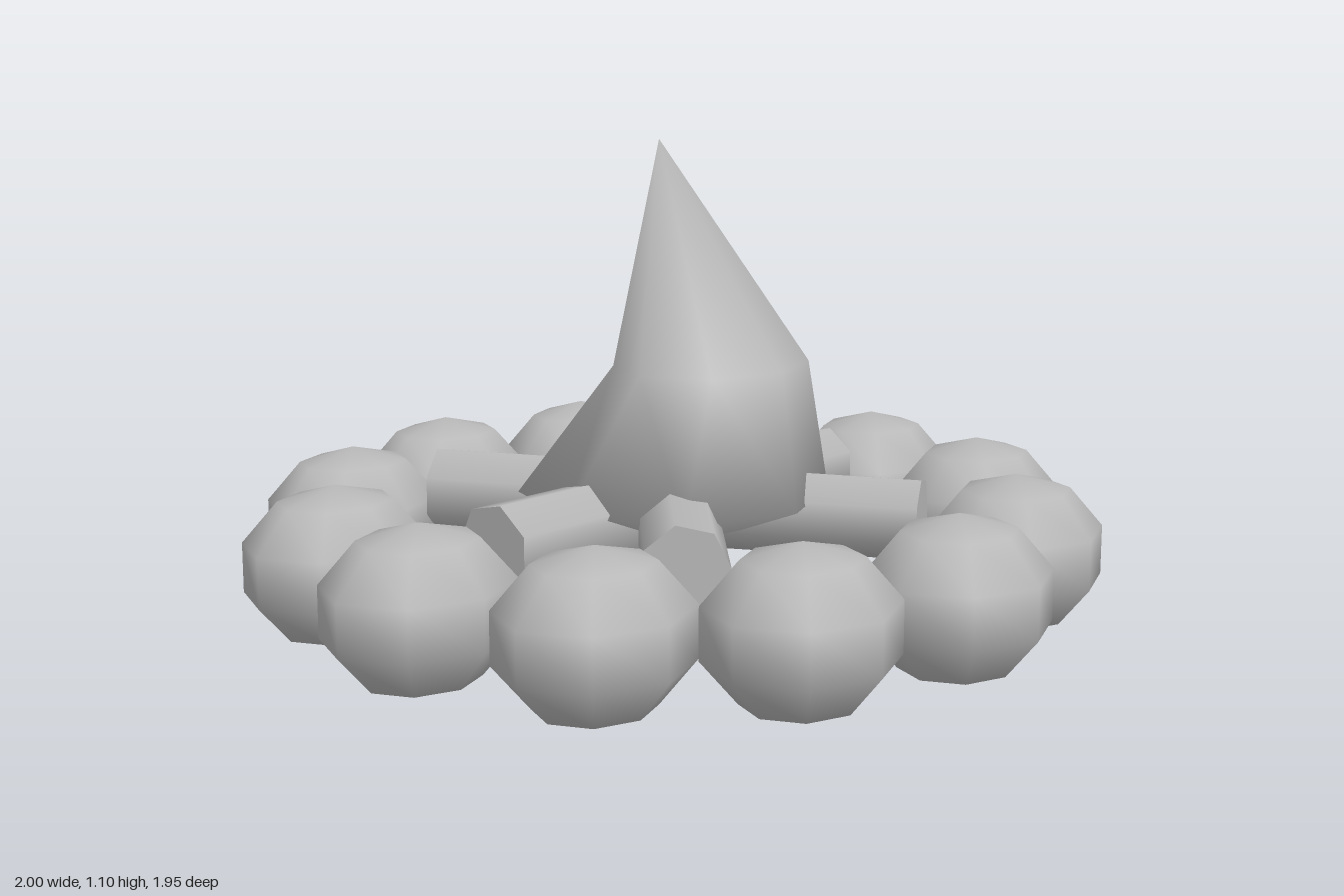
import * as THREE from 'three';

export function createModel() {
  const group = new THREE.Group();
  group.name = 'campfire';
  const grey = new THREE.MeshStandardMaterial({ color: 0xb8b8b8 });
  grey.name = 'plain grey';

  const add = (name, geometry, parent = group) => {
    const mesh = new THREE.Mesh(geometry, grey);
    mesh.name = name;
    parent.add(mesh);
    return mesh;
  };

  // Ring of twelve squashed stones, all facing the same way
  const stones = new THREE.Group();
  stones.name = 'stoneRing';
  group.add(stones);
  const stoneShape = new THREE.SphereGeometry(1, 8, 5).scale(0.225, 0.18, 0.203);
  for (let i = 0; i < 12; i++) {
    const a = (i / 12) * Math.PI * 2;
    add('stone', stoneShape, stones).position.set(0.785 * Math.cos(a), 0.18, 0.78 * Math.sin(a));
  }

  // Three tapered logs crossing in the middle
  const logs = new THREE.Group();
  logs.name = 'logs';
  group.add(logs);
  const logShape = new THREE.CylinderGeometry(0.103, 0.094, 1.155, 7).rotateZ(-Math.PI / 2);
  for (const degrees of [180, 116, 43.5]) {
    const log = add('log', logShape, logs);
    log.position.y = 0.258;
    log.rotation.y = THREE.MathUtils.degToRad(degrees);
  }

  // Flame: a coarse sphere whose rings are shifted into a leaning teardrop.
  // The round sphere normals are kept for a soft look.
  const rings = [
    { x: -0.05, y: 1.1, z: 0, rx: 0, rz: 0 },
    { x: 0.09, y: 0.58, z: 0.038, rx: 0.25, rz: 0.208 },
    { x: 0, y: 0.29, z: 0, rx: 0.36, rz: 0.36 },
    { x: 0, y: 0.145, z: 0, rx: 0, rz: 0 },
  ];
  const sides = 8;
  const flame = new THREE.SphereGeometry(1, sides, 3);
  const pos = flame.attributes.position;
  for (let i = 0; i < pos.count; i++) {
    const ring = rings[Math.floor(i / (sides + 1))];
    const a = ((i % (sides + 1)) / sides) * Math.PI * 2;
    pos.setXYZ(i, ring.x - ring.rx * Math.cos(a), ring.y, ring.z + ring.rz * Math.sin(a));
  }
  add('flame', flame);

  return group;
}
